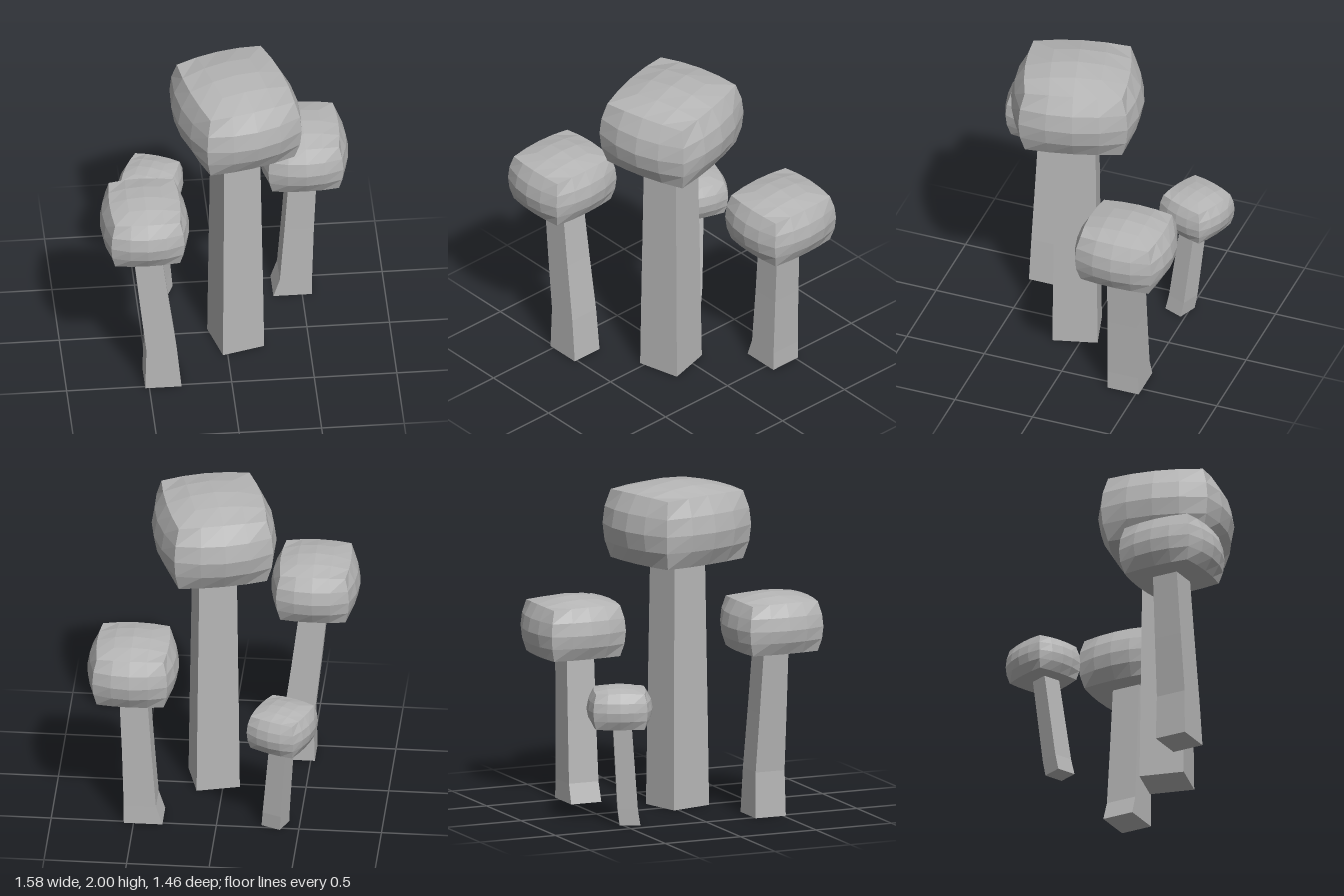
import * as THREE from 'three';

const stone = new THREE.MeshStandardMaterial({ color: 0xb6b6b6, flatShading: true });
stone.name = 'plain grey';

// Cap: a box of 4 x 4 x 4 patches whose sides and top swell outwards
function makeCap(hx, hz, bottom, top) {
  const g = new THREE.BoxGeometry(2, 2, 2, 4, 4, 4);
  const p = g.attributes.position;
  const H = top - bottom;
  for (let i = 0; i < p.count; i++) {
    const u = p.getX(i), w = p.getY(i), v = p.getZ(i);
    const a = 1 - u * u, b = 1 - v * v, c = 1 - w * w;
    const swell = (s) => 0.73 + 0.06 * s + 0.09 * c + 0.12 * s * c;
    const rise = Math.max(w, 0) * (0.02 * (a + b) + 0.09 * a * b);
    p.setXYZ(i, u * hx * swell(b), bottom + H * ((w + 1) * 0.435 + rise), v * hz * swell(a));
  }
  g.computeVertexNormals();
  return new THREE.Mesh(g, stone);
}

// Stem: four-sided loft through rings [y, centre x, centre z, width, depth]
function makeStem(rings, turn) {
  const pos = [], idx = [];
  const cs = Math.cos(turn), sn = Math.sin(turn);
  for (const [y, cx, cz, w, d] of rings) {
    for (const [sx, sz] of [[-1, 1], [1, 1], [1, -1], [-1, -1]]) {
      const x = sx * w / 2, z = sz * d / 2;
      pos.push(cx + x * cs + z * sn, y, cz - x * sn + z * cs);
    }
  }
  const last = (rings.length - 1) * 4;
  for (let r = 0; r < last; r += 4) {
    for (let k = 0; k < 4; k++) {
      const a = r + k, b = r + (k + 1) % 4;
      idx.push(a, b, b + 4, a, b + 4, a + 4);
    }
  }
  idx.push(0, 2, 1, 0, 3, 2, last, last + 1, last + 2, last, last + 2, last + 3);
  const g = new THREE.BufferGeometry();
  g.setAttribute('position', new THREE.Float32BufferAttribute(pos, 3));
  g.setIndex(idx);
  g.computeVertexNormals();
  return new THREE.Mesh(g, stone);
}

const mushrooms = [
  {
    name: 'tallMushroom', turn: 0.265, cap: [0.0625, 0.0625, 0.37, 0.404, 1.52, 2.0],
    stem: [[0, 0.0625, 0.067, 0.265, 0.275], [0.48, 0.062, 0.067, 0.255, 0.265], [1.56, 0.06, 0.066, 0.228, 0.24]],
  },
  {
    name: 'frontMushroom', turn: 0, cap: [-0.522, 0.425, 0.27, 0.295, 1.04, 1.39],
    stem: [[0, -0.415, 0.417, 0.22, 0.2], [0.28, -0.425, 0.416, 0.185, 0.192],
      [0.65, -0.47, 0.418, 0.176, 0.178], [1.08, -0.519, 0.42, 0.166, 0.162]],
  },
  {
    name: 'sideMushroom', turn: 0, cap: [0.51, -0.42, 0.277, 0.3, 0.89, 1.25],
    stem: [[0, 0.442, -0.418, 0.234, 0.2], [0.12, 0.462, -0.417, 0.195, 0.196],
      [0.5, 0.482, -0.416, 0.178, 0.187], [0.93, 0.506, -0.414, 0.168, 0.18]],
  },
  {
    name: 'smallMushroom', turn: -0.39, cap: [-0.402, -0.53, 0.192, 0.2, 0.62, 0.87],
    stem: [[0, -0.353, -0.44, 0.125, 0.125], [0.1, -0.359, -0.458, 0.122, 0.122], [0.66, -0.402, -0.515, 0.112, 0.112]],
  },
];

export function createModel() {
  const model = new THREE.Group();
  model.name = 'mushroomCluster';
  for (const { name, turn, cap: [x, z, hx, hz, bottom, top], stem } of mushrooms) {
    const group = new THREE.Group();
    group.name = name;
    const cap = makeCap(hx, hz, bottom, top);
    cap.name = 'cap';
    cap.position.set(x, 0, z);
    cap.rotation.y = turn;
    const stalk = makeStem(stem, turn);
    stalk.name = 'stem';
    group.add(cap, stalk);
    model.add(group);
  }
  return model;
}
